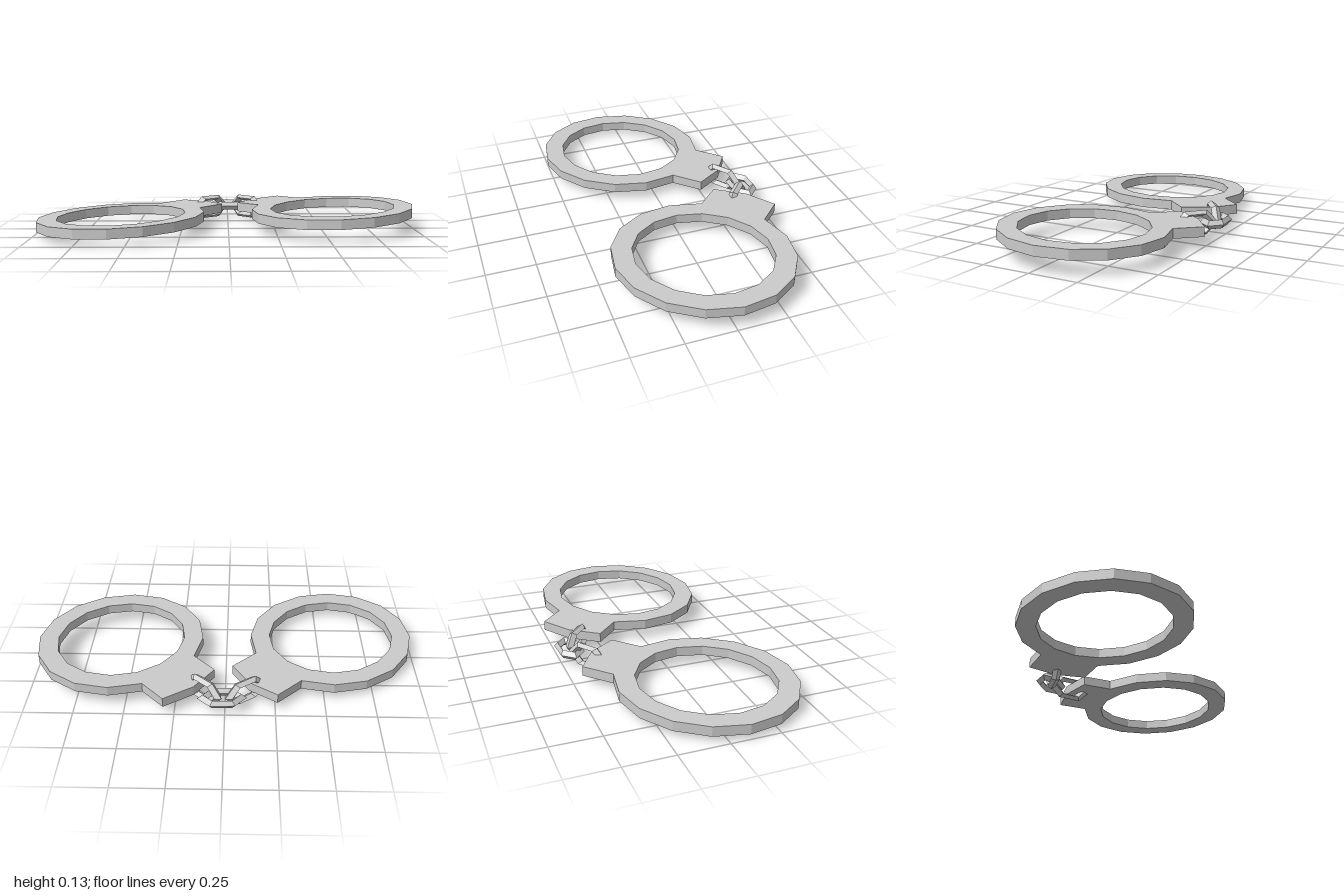
import * as THREE from 'three';

const metal = new THREE.MeshStandardMaterial({ color: 0xcccccc, flatShading: true });
const SIDES = 16, THICKNESS = 0.05;

// Corner k of the slightly oval cuff outline, as (x, z) about its centre
function corner(k, scale = 1) {
  const a = (k / SIDES) * Math.PI * 2;
  const c = Math.cos(a) * scale, s = Math.sin(a) * scale;
  return [0.435 * c - 0.018 * s, -0.02 * c + 0.435 * s];
}

// Flat ring whose three corners around tabCorner are pushed out into a tab
function makeCuff(name, cx, cz, tabCorner, pushX, pushZ) {
  const toPlan = ([x, z]) => new THREE.Vector2(cx + x, -(cz + z));
  const outline = [], hole = [];
  for (let k = 0; k < SIDES; k++) {
    const p = corner(k), pushed = [p[0] + pushX, p[1] + pushZ];
    const d = k - tabCorner;
    if (Math.abs(d) > 1) outline.push(toPlan(p));
    else if (d === -1) outline.push(toPlan(p), toPlan(pushed));
    else if (d === 0) outline.push(toPlan(pushed));
    else outline.push(toPlan(pushed), toPlan(p));
    hole.push(toPlan(corner(k, 0.77)));
  }
  const shape = new THREE.Shape(outline);
  // The hole runs opposite to the outline so its wall faces inward
  shape.holes.push(new THREE.Path(hole.reverse()));
  const geo = new THREE.ExtrudeGeometry(shape, { depth: THICKNESS, bevelEnabled: false });
  geo.rotateX(-Math.PI / 2);
  // Both cuffs lie on one gently sloping plane
  const pos = geo.attributes.position;
  for (let i = 0; i < pos.count; i++) {
    pos.setY(i, pos.getY(i) + 0.053 + 0.026 * pos.getX(i) + 0.003 * pos.getZ(i));
  }
  geo.computeVertexNormals();
  const mesh = new THREE.Mesh(geo, metal);
  mesh.name = name;
  return mesh;
}

// Six-sided chain link with a diamond section, long axis along x
function makeLink(name, x, y, z, turn, upright) {
  const geo = new THREE.TorusGeometry(0.085, 0.025, 4, 6);
  geo.scale(1.13, 0.67, 0.9);
  if (!upright) geo.rotateX(Math.PI / 2);
  const mesh = new THREE.Mesh(geo, metal);
  mesh.name = name;
  mesh.position.set(x, y, z);
  mesh.rotation.y = turn;
  return mesh;
}

export function createModel() {
  const group = new THREE.Group();
  group.name = 'handcuffs';

  // Cuffs
  group.add(
    makeCuff('rightCuff', -0.565, 0.075, 14, 0.122, -0.12),
    makeCuff('leftCuff', 0.562, -0.006, 10, -0.111, -0.113)
  );

  // Chain
  const chain = new THREE.Group();
  chain.name = 'chain';
  chain.add(
    makeLink('rightLink', -0.102, 0.064, -0.383, 0.62, true),
    makeLink('middleLink', 0.014, 0.066, -0.449, 0.05, false),
    makeLink('leftLink', 0.109, 0.066, -0.378, -0.72, true)
  );
  group.add(chain);
  return group;
}
